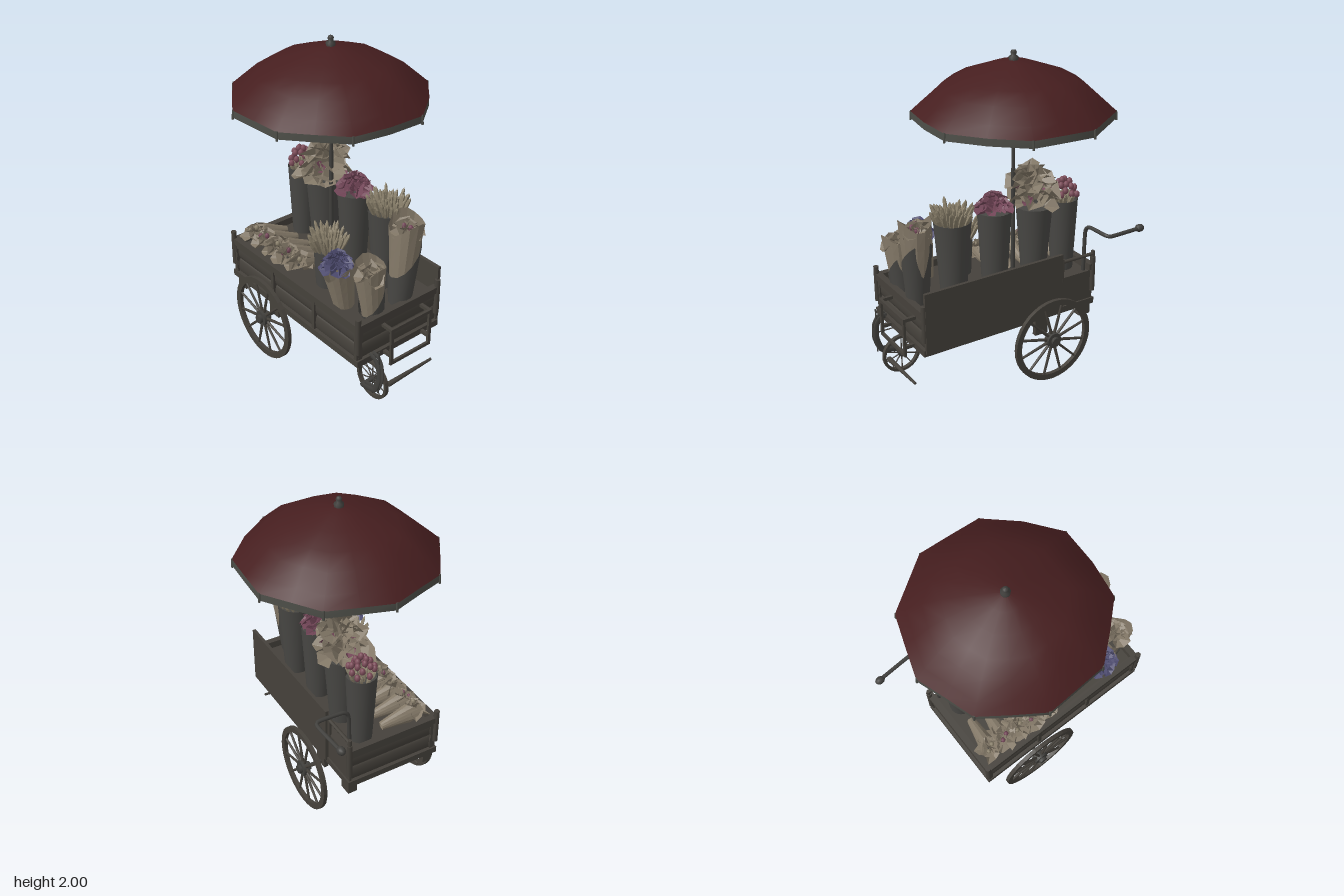
import * as THREE from 'three';
import { mergeGeometries } from 'three/addons/utils/BufferGeometryUtils.js';

const V = (x, y, z) => new THREE.Vector3(x, y, z);
const UP = V(0, 1, 0);
let seed = 7;
const rnd = () => (seed = (seed * 16807) % 2147483647) / 2147483647;
const span = (a, b) => a + (b - a) * rnd();

const mat = (name, color, double = false) => {
  const m = new THREE.MeshStandardMaterial({ color });
  m.name = name;
  if (double) m.side = THREE.DoubleSide;
  return m;
};

export function createModel() {
  seed = 7;
  const root = new THREE.Group();
  root.name = 'flowerCart';
  const M = {
    wood: mat('dark wood', 0x45413b),
    metal: mat('dark metal', 0x41403d),
    bucket: mat('bucket grey', 0x484744, true),
    canopy: mat('canopy red', 0x461e1f, true),
    trim: mat('trim grey', 0x4c4d47, true),
    paper: mat('wrapping paper', 0x857a69, true),
    leaf: mat('pale stems', 0x8a806b, true),
    pink: mat('pink buds', 0x7c4c59, true),
    mauve: mat('mauve petals', 0x744759, true),
    blue: mat('blue petals', 0x4e4c70, true),
  };
  const add = (name, geo, material, parent = root) => {
    const m = new THREE.Mesh(geo, material);
    m.name = name;
    parent.add(m);
  };
  const flat = (g) => { const f = g.index ? g.toNonIndexed() : g; f.computeVertexNormals(); return f; };
  // box given by its lower and upper limits
  const slab = (x0, x1, y0, y1, z0, z1) =>
    new THREE.BoxGeometry(x1 - x0, y1 - y0, z1 - z0).translate((x0 + x1) / 2, (y0 + y1) / 2, (z0 + z1) / 2);
  // stand a y-up geometry on a point, facing a direction
  const aim = (geo, pos, dir) =>
    geo.applyQuaternion(new THREE.Quaternion().setFromUnitVectors(UP, dir.clone().normalize())).translate(pos.x, pos.y, pos.z);
  const rod = (a, b, r, r2 = r, n = 8) => {
    const d = b.clone().sub(a);
    return aim(new THREE.CylinderGeometry(r2, r, d.length(), n).translate(0, d.length() / 2, 0), a, d);
  };
  const tube = (pts, r, n) => new THREE.TubeGeometry(new THREE.CatmullRomCurve3(pts, false, 'catmullrom', 0.25), n, r, 8);

  // ---- Cart body with gently rounded planks
  const X0 = -0.52, X1 = 0.66, Z0 = -0.2, Z1 = 0.4;
  add('floor', slab(X0, X1, 0.37, 0.4, Z0, Z1), M.wood);
  add('deck', slab(X0, X1, 0.58, 0.6, Z0, Z1), M.wood);
  const planks = [slab(X0, X1, 0.4, 0.61, Z1 - 0.03, Z1 - 0.018)], frame = [];
  for (const x of [X0 + 0.018, X1 - 0.03]) planks.push(slab(x, x + 0.012, 0.4, 0.61, Z0, Z1));
  for (const y of [0.45, 0.555]) {
    planks.push(rod(V(X0, 0, 0), V(X1, 0, 0), 0.052, 0.052, 20).scale(1, 1, 0.3).translate(0, y, Z1 - 0.022));
    for (const x of [X0 + 0.022, X1 - 0.022])
      planks.push(rod(V(0, 0, Z0), V(0, 0, Z1 - 0.01), 0.052, 0.052, 20).scale(0.3, 1, 1).translate(x, y, 0));
  }
  for (const [y0, y1] of [[0.37, 0.41], [0.605, 0.645]]) {
    frame.push(slab(X0 - 0.01, X1 + 0.01, y0, y1, Z1 - 0.03, Z1 + 0.01));
    for (const x of [X0 - 0.01, X1 - 0.03]) frame.push(slab(x, x + 0.04, y0, y1, Z0 - 0.01, Z1));
  }
  frame.push(slab(X0, X1, 0.37, 0.41, Z0 - 0.01, Z0 + 0.02));
  for (const x of [X0 + 0.015, -0.12, 0.27, X1 - 0.015]) frame.push(slab(x - 0.012, x + 0.012, 0.4, 0.62, Z1 - 0.02, Z1 + 0.005));
  for (const x of [X0, X1]) for (const z of [Z0, Z1])
    frame.push(rod(V(x, 0.46, z), V(x, 0.69, z), 0.017));
  add('sidePlanks', mergeGeometries(planks), M.wood);
  add('bodyFrame', mergeGeometries(frame), M.wood);
  add('backBoard', slab(-0.28, 0.66, 0.39, 0.77, -0.22, -0.2), M.wood);
  add('backLowerBoard', slab(X0, -0.28, 0.4, 0.58, -0.2, -0.185), M.wood);
  const rail = [rod(V(X0, 0.71, Z0), V(-0.28, 0.71, Z0), 0.011)];
  for (const x of [X0, -0.29]) rail.push(rod(V(x, 0.58, Z0), V(x, 0.73, Z0), 0.012));
  add('rail', mergeGeometries(rail), M.wood);

  // ---- Underside beams, feet and tie rods
  const under = [];
  for (const z of [-0.17, 0.36]) {
    under.push(slab(-0.51, -0.43, 0.3, 0.37, z - 0.03, z + 0.03));
    under.push(slab(-0.4, 0.3, 0.355, 0.37, z - 0.02, z + 0.02));
    under.push(slab(-0.2, -0.11, 0.25, 0.37, z - 0.015, z + 0.015));
  }
  under.push(rod(V(-0.5, 0.3, 0.3), V(0.72, 0.3, 0.3), 0.004), rod(V(0.21, 0.3, 0.3), V(0.21, 0.38, 0.3), 0.006));
  add('underFrame', mergeGeometries(under), M.wood);

  // ---- Wheels
  const wheel = (name, R, spokes, x, y, z) => {
    const g = new THREE.Group();
    g.name = name;
    const t = R * 0.09, w = 0.024;
    const rim = new THREE.Shape().absarc(0, 0, R, 0, Math.PI * 2);
    rim.holes.push(new THREE.Path().absarc(0, 0, R - t * 1.5, 0, Math.PI * 2, true));
    add('rim', new THREE.ExtrudeGeometry(rim, { depth: w, bevelEnabled: false, curveSegments: 18 }).translate(0, 0, -w / 2), M.wood, g);
    const parts = [];
    for (let i = 0; i < spokes; i++) {
      const a = (i + 0.5) / spokes * Math.PI * 2, c = Math.cos(a), s = Math.sin(a);
      parts.push(rod(V(c * R * 0.1, s * R * 0.1, 0), V(c * (R - t), s * (R - t), 0), R * 0.036, R * 0.028, 6));
    }
    add('spokes', mergeGeometries(parts), M.wood, g);
    add('hub', new THREE.CylinderGeometry(R * 0.18, R * 0.18, R * 0.16, 14).rotateX(Math.PI / 2), M.metal, g);
    add('hubCap', new THREE.CylinderGeometry(R * 0.1, R * 0.1, R * 0.3, 10).rotateX(Math.PI / 2), M.metal, g);
    g.position.set(x, y, z);
    root.add(g);
  };
  wheel('frontWheel', 0.268, 12, -0.155, 0.27, 0.457);
  wheel('backWheel', 0.268, 12, -0.155, 0.27, -0.303);
  wheel('smallWheel', 0.125, 10, 0.6, 0.155, 0.23);
  add('axle', rod(V(-0.155, 0.27, -0.34), V(-0.155, 0.27, 0.45), 0.011), M.metal);

  // ---- Steering fork with stick, and end frame
  const fork = [rod(V(0.6, 0.155, 0.2), V(0.6, 0.155, 0.315), 0.014)];
  for (const z of [0.285, 0.31]) {
    fork.push(tube([V(0.66, 0.41, 0), V(0.7, 0.405, 0), V(0.73, 0.36, 0), V(0.735, 0.27, 0), V(0.7, 0.18, 0), V(0.6, 0.155, 0)], 0.018, 24)
      .scale(1, 1, 0.35).translate(0, 0, z));
  }
  add('fork', mergeGeometries(fork), M.metal);
  add('forkPost', rod(V(0.725, 0.17, 0.3), V(0.725, 0.46, 0.3), 0.005), M.metal);
  add('stick', rod(V(0.7, 0.16, 0.2), V(0.7, 0.17, -0.14), 0.016, 0.008), M.wood);
  const end = [slab(0.72, 0.735, 0.555, 0.575, -0.09, 0.22), slab(0.72, 0.735, 0.33, 0.35, -0.09, 0.22)];
  for (const z of [-0.09, 0.2]) {
    end.push(slab(0.72, 0.735, 0.33, 0.575, z, z + 0.02));
    for (const y of [0.555, 0.38]) end.push(slab(0.65, 0.735, y, y + 0.02, z, z + 0.02));
  }
  add('endFrame', mergeGeometries(end), M.wood);

  // ---- Push handle
  add('handle', tube([V(-0.47, 0.56, -0.17), V(-0.47, 0.86, -0.18), V(-0.47, 0.905, -0.22), V(-0.47, 0.91, -0.37),
    V(-0.5, 0.905, -0.395), V(-0.73, 0.9, -0.382)], 0.012, 48), M.metal);
  add('handleKnob', new THREE.SphereGeometry(0.024, 12, 8).scale(1.3, 1, 1).translate(-0.725, 0.9, -0.38), M.metal);

  // ---- Parasol
  const px = -0.06, pz = -0.005;
  const ribs = [180, 218, 255, 293, 342, 388, 428, 465, 504].map((d) => d * Math.PI / 180);
  // rings of panels between ribs, from a profile of [radius, height]
  const ribbed = (profile) => {
    const pos = [], idx = [], n = ribs.length * 2;
    for (const [r, y] of profile) for (let i = 0; i < n; i++) {
      const k = i >> 1, a = ribs[k], b = ribs[(k + 1) % ribs.length] + (k === ribs.length - 1 ? Math.PI * 2 : 0);
      const t = i % 2 ? (a + b) / 2 : a, q = i % 2 ? r * (1 - 0.052 * Math.min(1, r / 0.5)) : r;
      pos.push(px + q * Math.cos(t), y, pz + q * Math.sin(t));
    }
    for (let j = 0; j < profile.length - 1; j++) for (let i = 0; i < n; i++) {
      const a = j * n + i, b = j * n + (i + 1) % n;
      idx.push(a, b + n, b, a, a + n, b + n);
    }
    const g = new THREE.BufferGeometry();
    g.setAttribute('position', new THREE.Float32BufferAttribute(pos, 3));
    g.setIndex(idx);
    g.computeVertexNormals();
    return g;
  };
  add('canopy', ribbed([[0.004, 1.945], [0.1, 1.932], [0.21, 1.893], [0.33, 1.85], [0.43, 1.795], [0.52, 1.717], [0.582, 1.662]]), M.canopy);
  add('valance', ribbed([[0.579, 1.664], [0.582, 1.62]]), M.trim);
  const tips = ribs.map((a) => rod(V(px + 0.582 * Math.cos(a), 1.61, pz + 0.582 * Math.sin(a)),
    V(px + 0.577 * Math.cos(a), 1.665, pz + 0.577 * Math.sin(a)), 0.007));
  add('ribTips', mergeGeometries(tips), M.trim);
  add('pole', rod(V(px, 0.6, pz), V(px, 1.95, pz), 0.01), M.metal);
  add('poleSleeve', rod(V(px, 0.6, pz), V(px, 1.3, pz), 0.013), M.metal);
  const finial = [[0.026, 1.935], [0.028, 1.96], [0.014, 1.97], [0.018, 1.985], [0.012, 1.997], [0, 2]];
  add('finial', new THREE.LatheGeometry(finial.map(([r, y]) => new THREE.Vector2(r, y)), 12).translate(px, 0, pz), M.metal);

  // ---- Buckets and flowers
  const bucket = (x, z, y0, y1, r0, r1) => {
    add('bucket', new THREE.CylinderGeometry(r1, r0, y1 - y0, 20, 1, true).translate(x, (y0 + y1) / 2, z), M.bucket);
    add('bucketFill', new THREE.CircleGeometry(r1 * 0.97, 20).rotateX(-Math.PI / 2).translate(x, y1 - 0.03, z), M.bucket);
  };
  // pointed leaves fanning out of a circle
  const spikes = (name, x, y, z, r, h, n, m) => {
    const parts = [];
    for (let i = 0; i < n; i++) {
      const a = i * 2.4, q = Math.sqrt((i + 0.5) / n), l = h * span(0.8, 1.15);
      const leaf = new THREE.SphereGeometry(1, 5, 4).scale(0.015, l / 2, 0.011).translate(0, l / 2, 0);
      parts.push(aim(leaf, V(x + r * q * Math.cos(a), y, z + r * q * Math.sin(a)), V(q * 0.5 * Math.cos(a), 1, q * 0.5 * Math.sin(a))));
    }
    add(name, flat(mergeGeometries(parts)), m);
  };
  // crumpled open cones clustered on a dome
  const ruffle = (name, x, y, z, r, h, n, size, m) => {
    const parts = [];
    for (let i = 0; i < n; i++) {
      const a = i * 2.4, q = Math.sqrt((i + 0.5) / n), s = size * span(0.8, 1.2);
      const g = new THREE.CylinderGeometry(s, s * 0.15, s * 0.9, 6, 1, true), p = g.attributes.position;
      for (let k = 0; k < 6; k++) {
        const f = span(0.65, 1.2), v = p.getY(k) * span(0.3, 1.3);
        p.setXYZ(k, p.getX(k) * f, v, p.getZ(k) * f);
      }
      p.setXYZ(6, p.getX(0), p.getY(0), p.getZ(0));
      parts.push(aim(g, V(x + r * q * Math.cos(a), y + h * (1 - q * q), z + r * q * Math.sin(a)), V(q * Math.cos(a), 0.8, q * Math.sin(a))));
    }
    add(name, flat(mergeGeometries(parts)), m);
  };
  const buds = (name, x, y, z, r, h, n, s, m) => {
    const parts = [];
    for (let i = 0; i < n; i++) {
      const a = i * 2.4, q = Math.sqrt((i + 0.5) / n);
      parts.push(new THREE.SphereGeometry(s, 7, 6).scale(1, 1.25, 1)
        .translate(x + r * q * Math.cos(a), y + h * (1 - q * q) + span(-0.01, 0.01), z + r * q * Math.sin(a)));
    }
    add(name, mergeGeometries(parts), m);
  };
  // leaning paper cone with a ragged rim, optionally with a dark sleeve cut on a slant
  const wrap = (foot, top, r0, r1, sleeve = 0) => {
    const d = top.clone().sub(foot), h = d.length();
    const g = new THREE.CylinderGeometry(r1, r0, h, 14, 4, true).translate(0, h / 2, 0), p = g.attributes.position;
    for (let i = 0; i < p.count; i++) {
      const a = Math.atan2(p.getZ(i), p.getX(i)), f = p.getY(i) / h, k = 1 + 0.1 * f * Math.sin(3 * a);
      p.setXYZ(i, p.getX(i) * k, p.getY(i) + f * f * (0.04 * Math.sin(2 * a + 1) - 0.025 * Math.sin(a)), p.getZ(i) * k);
    }
    add('paperWrap', flat(aim(g, foot, d)), M.paper);
    if (!sleeve) return;
    const s = new THREE.CylinderGeometry(r0 + (r1 - r0) * sleeve + 0.007, r0 + 0.007, h * sleeve, 14, 1, true)
      .translate(0, h * sleeve / 2, 0), q = s.attributes.position;
    for (let i = 0; i < q.count; i++) if (q.getY(i) > 0.01) q.setY(i, q.getY(i) - 1.3 * q.getZ(i));
    add('wrapSleeve', aim(s, foot, d), M.bucket);
  };

  // back row
  bucket(-0.39, -0.05, 0.6, 1.06, 0.07, 0.092);
  spikes('budStems', -0.39, 1.02, -0.05, 0.06, 0.08, 20, M.leaf);
  buds('pinkBuds', -0.395, 1.08, -0.05, 0.085, 0.09, 22, 0.018, M.pink);
  bucket(-0.18, -0.05, 0.6, 1.06, 0.075, 0.11);
  ruffle('paperBouquet', -0.18, 1.09, -0.05, 0.11, 0.11, 17, 0.085, M.paper);
  ruffle('paperBouquetCrown', -0.15, 1.22, -0.05, 0.085, 0.06, 11, 0.075, M.paper);
  ruffle('bouquetPetals', -0.18, 1.11, -0.05, 0.11, 0.13, 6, 0.035, M.mauve);
  bucket(0.1, -0.05, 0.6, 1.09, 0.075, 0.102);
  ruffle('mauveFlowers', 0.1, 1.1, -0.05, 0.08, 0.08, 22, 0.046, M.mauve);
  bucket(0.38, -0.05, 0.6, 1.09, 0.075, 0.11);
  spikes('tallLeaves', 0.38, 1.06, -0.05, 0.085, 0.125, 46, M.leaf);
  wrap(V(0.58, 0.6, 0.02), V(0.59, 1.11, -0.015), 0.06, 0.098, 0.6);
  ruffle('wrappedFlowers', 0.59, 1.05, -0.015, 0.055, 0.04, 9, 0.055, M.paper);
  buds('wrappedBuds', 0.6, 1.05, -0.01, 0.05, 0.05, 5, 0.016, M.mauve);

  // front row
  bucket(0.18, 0.22, 0.6, 0.84, 0.068, 0.08);
  spikes('shortLeaves', 0.18, 0.82, 0.22, 0.07, 0.145, 42, M.leaf);
  wrap(V(0.4, 0.6, 0.28), V(0.4, 0.86, 0.32), 0.06, 0.09);
  ruffle('blueFlowers', 0.4, 0.86, 0.33, 0.072, 0.085, 24, 0.042, M.blue);
  wrap(V(0.575, 0.6, 0.22), V(0.58, 0.92, 0.25), 0.06, 0.09, 0.4);
  ruffle('paperFlowers', 0.58, 0.87, 0.25, 0.06, 0.05, 9, 0.05, M.paper);

  // small bouquets lying along the front
  for (let i = 0; i < 5; i++) {
    const x = -0.43 + i * 0.108;
    wrap(V(x + 0.02, 0.63, 0.08), V(x, 0.68, 0.27), 0.025, 0.055);
    ruffle('lyingBouquet', x, 0.67, 0.29, 0.05, 0.045, 7, 0.055, M.paper);
    buds('lyingBuds', x, 0.68, 0.3, 0.04, 0.045, 3, 0.015, i % 2 ? M.mauve : M.leaf);
  }
  return root;
}
